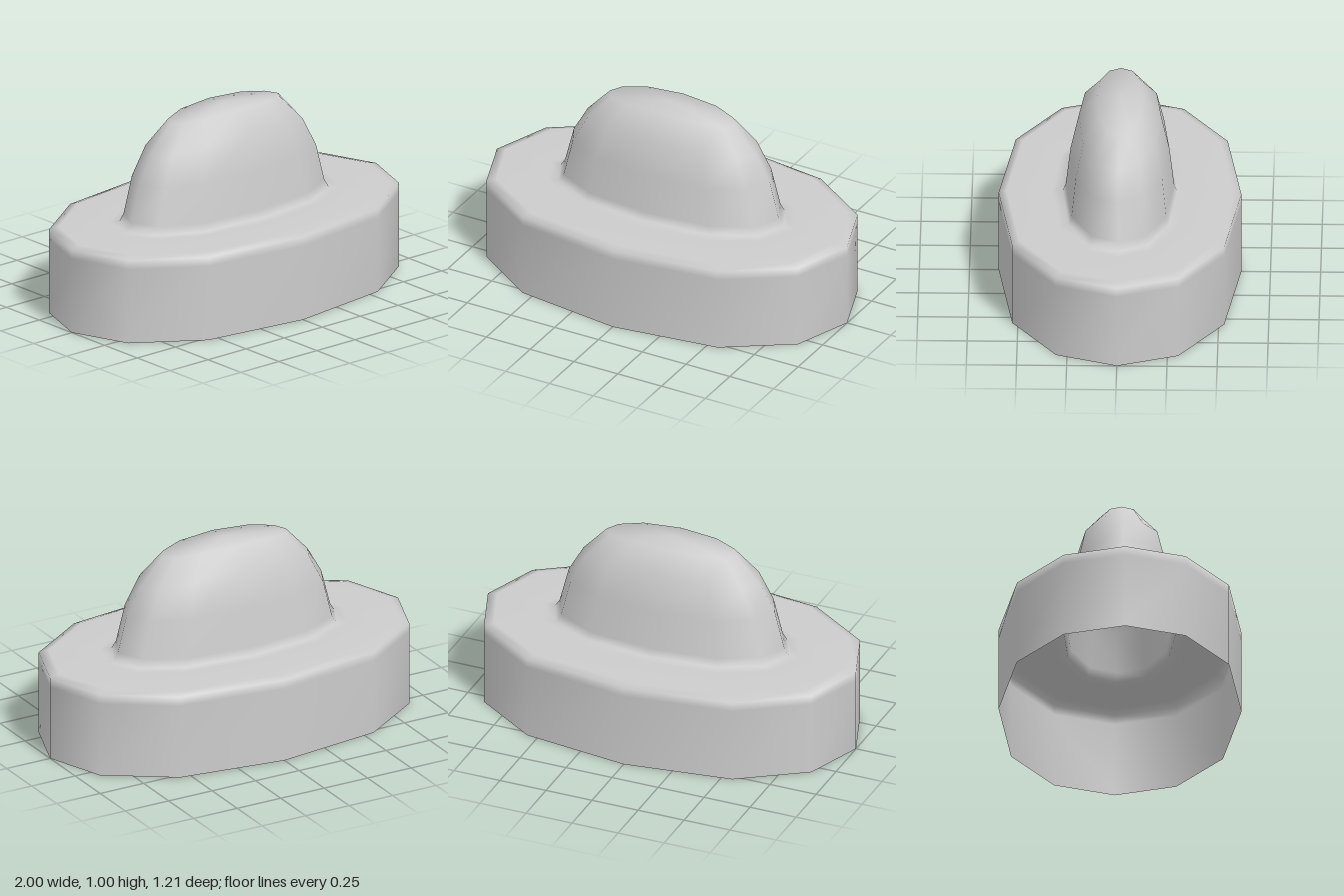
import * as THREE from 'three';

// One quarter of the twelve-sided oval (unit size), mirrored into a full ring
const QUARTER = [[1, 0], [0.89, 0.503], [0.557, 0.873], [0, 1]];
const OVAL = [
  ...QUARTER,
  ...QUARTER.slice(0, 3).reverse().map(([x, z]) => [-x, z]),
  ...QUARTER.slice(1).map(([x, z]) => [-x, -z]),
  ...QUARTER.slice(1, 3).reverse().map(([x, z]) => [x, -z]),
];

// Rings from the open bottom up: half width, half depth, height at the middle, height at the ends
const RINGS = [
  // skirt and rolled rim
  [1, 0.605, 0, 0],
  [1, 0.605, 0.39, 0.39],
  [1, 0.605, 0.437, 0.437],
  [0.95, 0.565, 0.45, 0.45],
  // flat top up to the foot of the grip
  [0.69, 0.34, 0.45, 0.45],
  [0.635, 0.285, 0.45, 0.45],
  // hollow grip, drooping towards its ends
  [0.61, 0.27, 0.49, 0.49],
  [0.56, 0.247, 0.69, 0.68],
  [0.48, 0.205, 0.88, 0.82],
  [0.355, 0.115, 0.98, 0.955],
];
const CROWN = 0.995;

function loftShell() {
  const n = OVAL.length;
  const positions = [];
  const index = [];
  for (const [w, d, yMid, yEnd] of RINGS) {
    for (const [x, z] of OVAL) {
      positions.push(x * w, yMid + (yEnd - yMid) * x * x, z * d);
    }
  }
  for (let r = 0; r < RINGS.length - 1; r++) {
    for (let i = 0; i < n; i++) {
      const j = (i + 1) % n;
      const a = r * n + i, b = r * n + j;
      index.push(a, a + n, b, b, a + n, b + n);
    }
  }
  // crown point closing the grip
  const pole = positions.length / 3;
  positions.push(0, CROWN, 0);
  const last = (RINGS.length - 1) * n;
  for (let i = 0; i < n; i++) index.push(last + i, pole, last + ((i + 1) % n));

  const geometry = new THREE.BufferGeometry();
  geometry.setAttribute('position', new THREE.Float32BufferAttribute(positions, 3));
  geometry.setIndex(index);
  geometry.computeVertexNormals();
  return geometry;
}

export function createModel() {
  const group = new THREE.Group();
  group.name = 'ovalLidWithGrip';
  // Thin continuous shell, open underneath
  const shell = new THREE.Mesh(
    loftShell(),
    new THREE.MeshStandardMaterial({ color: 0xcccccc, side: THREE.DoubleSide })
  );
  shell.name = 'lidShell';
  group.add(shell);
  return group;
}
